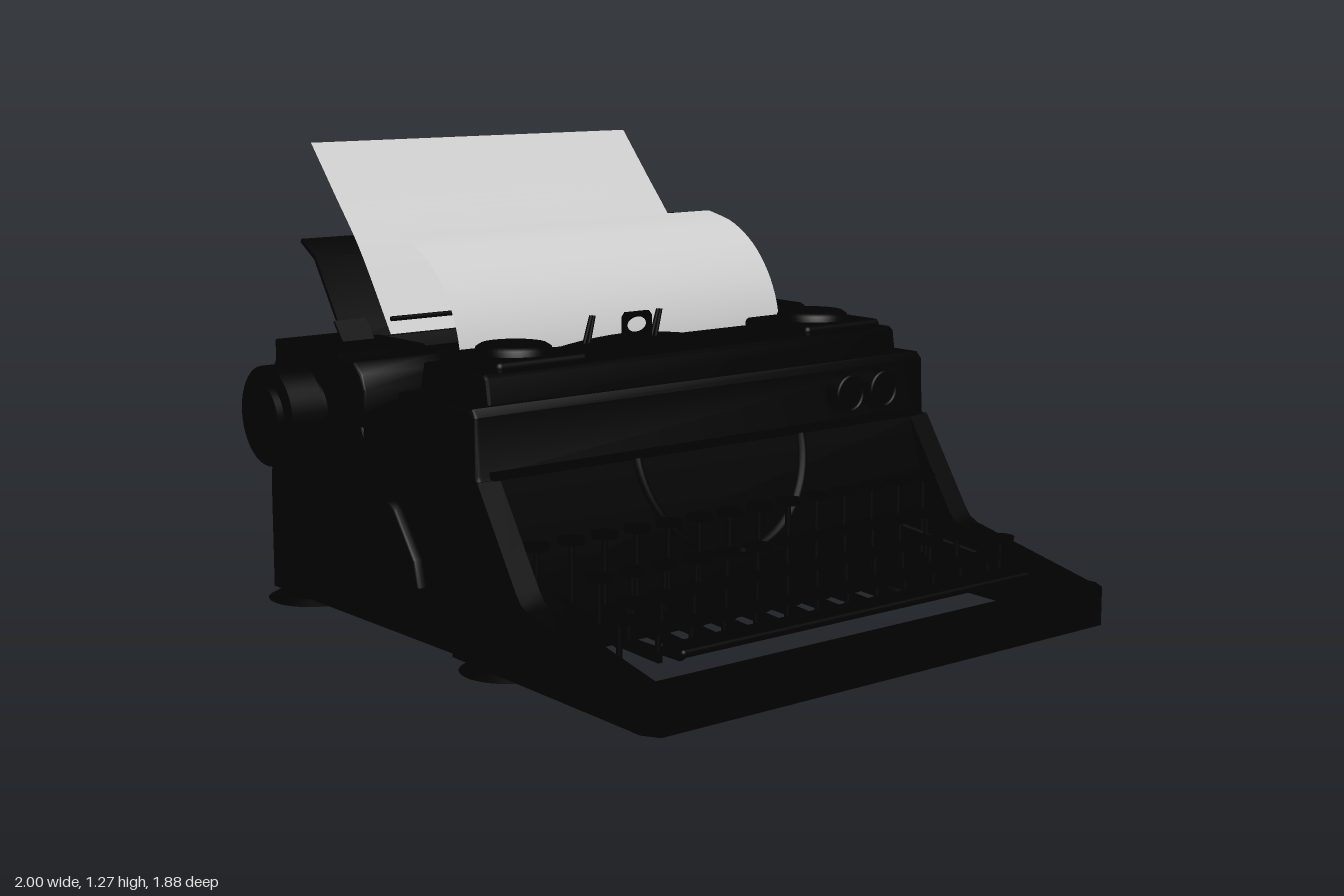
import * as THREE from 'three';
import { toCreasedNormals } from 'three/addons/utils/BufferGeometryUtils.js';
import { RoundedBoxGeometry } from 'three/addons/geometries/RoundedBoxGeometry.js';

const black = new THREE.MeshStandardMaterial({ color: 0x010101 });
const white = new THREE.MeshStandardMaterial({ color: 0xcccccc, side: THREE.DoubleSide });

export function createModel() {
  const root = new THREE.Group();
  // The machine sits slightly off the centre line of its knobs
  const shift = 0.008;
  const machine = new THREE.Group();
  machine.name = 'machine';
  machine.position.x = shift;
  root.add(machine);

  const add = (name, geo, x = 0, y = 0, z = 0, mat = black) => {
    const m = new THREE.Mesh(geo, mat);
    m.name = name;
    m.position.set(x, y, z);
    machine.add(m);
    return m;
  };
  const box = (name, w, h, d, x, y, z) => add(name, new THREE.BoxGeometry(w, h, d), x, y, z);
  const shapeOf = pts => new THREE.Shape(pts.map(p => new THREE.Vector2(...p)));
  // Side profile in (z, y), extruded across x from x0 to x1
  const across = (name, profile, x0, x1, bevel = 0) => {
    const shape = Array.isArray(profile) ? shapeOf(profile) : profile;
    const geo = new THREE.ExtrudeGeometry(shape, {
      depth: x1 - x0 - 2 * bevel, curveSegments: 16, bevelEnabled: bevel > 0,
      bevelSize: bevel, bevelThickness: bevel, bevelOffset: -bevel, bevelSegments: 3,
    });
    geo.rotateY(-Math.PI / 2).translate(x1 - bevel, 0, 0);
    return add(name, toCreasedNormals(geo, 0.6));
  };
  const discX = (name, r, len, x, y, z) =>
    add(name, new THREE.CylinderGeometry(r, r, len, 40).rotateZ(Math.PI / 2), x, y, z);
  // Round rod between two points
  const rod = (name, a, b, r) => {
    const p = new THREE.Vector3(...a), q = new THREE.Vector3(...b);
    const m = add(name, new THREE.CylinderGeometry(r, r, p.distanceTo(q), 10));
    m.position.copy(p).add(q).multiplyScalar(0.5);
    m.quaternion.setFromUnitVectors(new THREE.Vector3(0, 1, 0), q.sub(p).normalize());
  };

  // Main body with rounded back and sloping front panel
  const body = new THREE.Shape();
  body.moveTo(0.32, 0.025);
  body.lineTo(0.33, 0.22);
  body.lineTo(0.25, 0.49);
  body.lineTo(-0.62, 0.49);
  body.absarc(-0.62, 0.33, 0.16, Math.PI / 2, Math.PI, false);
  body.lineTo(-0.78, 0.025);
  across('body', body, -0.79, 0.79);

  // Keyboard cheeks and chamfered front rail
  const cheek = [[0.13, 0.018], [0.9, 0.003], [0.9, 0.11], [0.87, 0.11], [0.62, 0.165],
    [0.46, 0.2], [0.43, 0.215], [0.41, 0.24], [0.25, 0.49], [0.13, 0.49]];
  across('rightCheek', cheek, -0.795, -0.725);
  across('leftCheek', cheek, 0.725, 0.795);
  const rail = shapeOf([[-0.795, -0.86], [-0.795, -0.895], [-0.77, -0.94], [0.77, -0.94],
    [0.795, -0.895], [0.795, -0.86]]);
  add('frontRail', new THREE.ExtrudeGeometry(rail, { depth: 0.107, bevelEnabled: false })
    .rotateX(-Math.PI / 2), 0, 0.003, 0);

  // Upper housing and raised deck
  across('housing', [[0.25, 0.48], [0.24, 0.5], [0.235, 0.65], [0.215, 0.67],
    [-0.12, 0.67], [-0.14, 0.48]], -0.79, 0.79, 0.012);
  across('deck', [[0.21, 0.66], [0.195, 0.67], [0.185, 0.735], [0.17, 0.745],
    [-0.1, 0.745], [-0.12, 0.66]], -0.72, 0.72, 0.01);
  box('frontShelf', 1.5, 0.02, 0.02, 0, 0.5, 0.25);

  // Semicircular lip of the type basket on the front panel
  const lip = add('basketLip', new THREE.TorusGeometry(0.29, 0.013, 10, 40, Math.PI).rotateZ(Math.PI), 0, 0.49, 0.253);
  lip.rotation.x = -0.28;

  for (const s of [-1, 1]) {
    // Ribbon spool covers
    add('spoolPlate', new RoundedBoxGeometry(0.29, 0.04, 0.27, 3, 0.015), s * 0.53, 0.75, 0.04);
    add('spoolCap', new THREE.LatheGeometry([[0.105, 0], [0.1, 0.02], [0.088, 0.028], [0, 0.028]]
      .map(p => new THREE.Vector2(...p)), 40), s * 0.53, 0.765, 0.04);

    // Raised side panel
    const a = s > 0 ? 0.79 : -0.825;
    across('sidePanel', [[0.0, 0.15], [0.02, 0.18], [0.0, 0.25], [-0.09, 0.37], [-0.12, 0.385],
      [-0.48, 0.385], [-0.51, 0.36], [-0.51, 0.18], [-0.48, 0.15]], a, a + 0.035, 0.01);

    // Feet
    for (const z of [-0.695, 0.26]) {
      add('foot', new THREE.CylinderGeometry(0.105, 0.133, 0.014, 40), s * 0.705, 0.007, z);
      add('footPost', new THREE.CylinderGeometry(0.06, 0.06, 0.02, 32), s * 0.705, 0.02, z);
    }

    // Platen knob, collar and shaft
    discX('knobShaft', 0.055, 0.1, s * 0.84 - shift, 0.585, -0.445);
    discX('knobCollar', 0.095, 0.035, s * 0.866 - shift, 0.585, -0.445);
    discX('knob', 0.135, 0.098, s * 0.931 - shift, 0.585, -0.445);
    discX('knobCap', 0.09, 0.02, s * 0.99 - shift, 0.585, -0.445);

    // Tilted release lever on top of the carriage
    const b = s > 0 ? 0.62 : -0.72;
    across('releaseLever', [[-0.485, 0.745], [-0.535, 0.808], [-0.54, 0.803], [-0.495, 0.745]], b, b + 0.1);
  }

  // Two dials on the housing front
  for (const x of [0.46, 0.59]) {
    add('dial', new THREE.CylinderGeometry(0.05, 0.058, 0.045, 32).rotateX(Math.PI / 2), x, 0.585, 0.253);
    add('dialRing', new THREE.TorusGeometry(0.048, 0.006, 8, 32), x, 0.585, 0.276);
  }

  // Carriage: centre beam, end housings and platen
  const endProfile = [[-0.18, 0.495], [-0.215, 0.57], [-0.2, 0.61], [-0.198, 0.67], [-0.215, 0.71],
    [-0.25, 0.738], [-0.31, 0.745], [-0.33, 0.755], [-0.655, 0.755], [-0.655, 0.7],
    [-0.665, 0.685], [-0.585, 0.495]];
  across('rightCarriageEnd', endProfile, -0.84, -0.56, 0.008);
  across('leftCarriageEnd', endProfile, 0.62, 0.835, 0.008);
  across('carriageBeam', [[-0.2, 0.49], [-0.22, 0.57], [-0.3, 0.62], [-0.5, 0.7], [-0.54, 0.75],
    [-0.63, 0.75], [-0.64, 0.68], [-0.57, 0.49]], -0.8, 0.8);
  discX('platen', 0.13, 1.24, 0.03, 0.615, -0.335);
  rod('rearRail', [-0.8, 0.71, -0.645], [0.8, 0.71, -0.645], 0.018);
  rod('lowerRail', [-0.8, 0.54, -0.6], [0.8, 0.54, -0.6], 0.018);
  box('scaleBar', 1.73, 0.12, 0.014, 0.005, 0.55, -0.165);

  // Arched scale plate in front of the paper
  const arch = shapeOf([[-0.6, 0.6], [0.6, 0.6], [0.55, 0.64]]);
  arch.quadraticCurveTo(0.3, 0.745, 0, 0.75);
  arch.quadraticCurveTo(-0.3, 0.745, -0.55, 0.64);
  add('scalePlate', new THREE.ExtrudeGeometry(arch, { depth: 0.012, bevelEnabled: false }), 0, 0, -0.171);

  // Folded paper rest and bail rod
  across('paperRest', [[-0.55, 0.75], [-0.695, 0.968], [-0.77, 1.013], [-0.775, 1.003],
    [-0.703, 0.96], [-0.562, 0.75]], -0.68, 0.69);
  rod('bailRod', [-0.545, 0.8, -0.522], [0.63, 0.8, -0.522], 0.007);

  // Type guide with window and two slanted prongs
  const guide = shapeOf([[-0.05, 0.68], [0.05, 0.68], [0.05, 0.805], [0.04, 0.818],
    [-0.04, 0.818], [-0.05, 0.805]]);
  const hole = new THREE.Path();
  hole.absellipse(0, 0.782, 0.038, 0.022, 0, Math.PI * 2, true);
  guide.holes.push(hole);
  add('typeGuide', new THREE.ExtrudeGeometry(guide, { depth: 0.012, bevelEnabled: false }), 0, 0, -0.115);
  for (const s of [-1, 1])
    for (const dx of [0, 0.018])
      rod('prong', [s * 0.12 - 0.035 + dx, 0.7, -0.162], [s * 0.12 + dx * 0.5, 0.81, -0.162], 0.006);

  // Paper: curled front sheet over the platen, tail leaning on the rest
  const sheet = (name, pts) => {
    const curve = new THREE.CatmullRomCurve3(pts.map(([z, y]) => new THREE.Vector3(0, y, z)));
    const n = 24, geo = new THREE.PlaneGeometry(1.152, 1, 1, n), p = geo.attributes.position;
    for (let i = 0; i < p.count; i++) {
      const c = curve.getPoint(Math.min(1, Math.max(0, p.getY(i) + 0.5)));
      p.setXYZ(i, p.getX(i) + 0.035, c.y, c.z);
    }
    geo.computeVertexNormals();
    add(name, geo, 0, 0, 0, white);
  };
  sheet('paperFront', [[-0.197, 0.62], [-0.19, 0.73], [-0.225, 0.845], [-0.3, 0.945], [-0.4, 1.01], [-0.515, 1.04]]);
  sheet('paperTail', [[-0.532, 0.755], [-0.69, 0.985], [-0.815, 1.128], [-0.94, 1.27]]);

  // Keys on stems, each column over a flat lever
  const rows = [[0.345, 0.33], [0.458, 0.255], [0.575, 0.215], [0.69, 0.175]];
  const key = (x, y, z, r = 0.036) => {
    add('key', new THREE.CylinderGeometry(r, r * 0.92, 0.016, 24), x, y, z);
    rod('keyStem', [x, y, z], [x, 0.11, z], 0.008);
  };
  for (let i = 0; i < 12; i++) {
    const x = -0.575 + i * 0.1055;
    for (const [z, y] of rows) key(x, y, z);
    across('keyLever', [[0.3, 0.11], [0.698, 0.09], [0.698, 0.115], [0.3, 0.15]], x - 0.007, x + 0.007);
  }
  for (const s of [-1, 1]) {
    const x = s * 0.67 + 0.003;
    key(s * 0.685, 0.33, 0.345);
    key(x, 0.205, 0.655, 0.04);
    rod('shiftLever', [x, 0.14, 0.655], [s * 0.61, 0.2, 0.3], 0.009);
    rod('spaceBarArm', [s * 0.53, 0.135, 0.77], [s * 0.53, 0.1, 0.72], 0.009);
    rod('spaceBarArm', [s * 0.53, 0.1, 0.72], [s * 0.53, 0.1, 0.3], 0.009);
  }
  add('spaceBar', new RoundedBoxGeometry(1.22, 0.022, 0.085, 3, 0.01), -0.005, 0.146, 0.788);

  return root;
}
